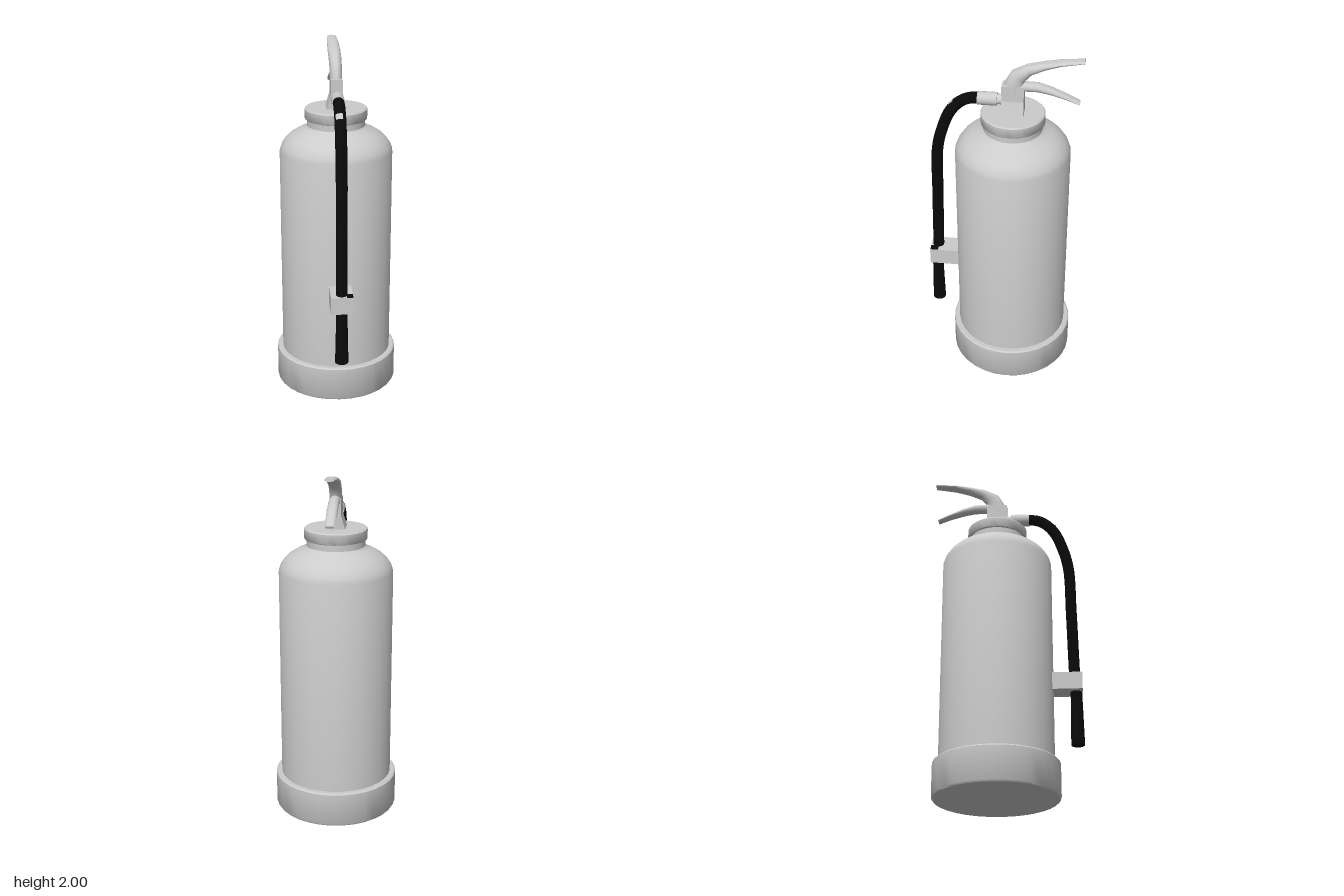
import * as THREE from 'three';
import { toCreasedNormals } from 'three/addons/utils/BufferGeometryUtils.js';

const AXIS_Z = -0.055; // the tank stands a little behind the centre
const grey = new THREE.MeshStandardMaterial({ color: 0xcccccc });
const black = new THREE.MeshStandardMaterial({ color: 0x0a0a0a });

function add(group, name, geometry, material = grey, position = [0, 0, 0]) {
  const mesh = new THREE.Mesh(geometry, material);
  mesh.name = name;
  mesh.position.set(...position);
  group.add(mesh);
  return mesh;
}

// Turned part from [radius, height] pairs, bottom to top
function turned(profile) {
  const points = profile.map(([r, y]) => new THREE.Vector2(r, y));
  return toCreasedNormals(new THREE.LatheGeometry(points, 32), 0.7);
}

// Closed oval loft along stations of [z, y, half width, half height]
function loft(stations, sides = 14) {
  const pos = [], index = [];
  const point = (i) => new THREE.Vector3(0, stations[i][1], stations[i][0]);
  const last = stations.length - 1;
  stations.forEach(([z, y, w, h], i) => {
    const t = point(Math.min(i + 1, last)).sub(point(Math.max(i - 1, 0))).normalize();
    for (let j = 0; j < sides; j++) {
      const a = (j / sides) * Math.PI * 2;
      const s = Math.sin(a) * h;
      pos.push(Math.cos(a) * w, y + s * t.z, z - s * t.y);
    }
  });
  for (let i = 0; i < last; i++) {
    for (let j = 0; j < sides; j++) {
      const k = (j + 1) % sides;
      const a = i * sides + j, b = i * sides + k;
      index.push(a, b, a + sides, b, b + sides, a + sides);
    }
  }
  // end caps
  const c = pos.length / 3;
  for (const i of [0, last]) pos.push(0, stations[i][1], stations[i][0]);
  for (let j = 0; j < sides; j++) {
    const k = (j + 1) % sides;
    index.push(c, k, j, c + 1, last * sides + j, last * sides + k);
  }
  const g = new THREE.BufferGeometry();
  g.setAttribute('position', new THREE.Float32BufferAttribute(pos, 3));
  g.setIndex(index);
  return toCreasedNormals(g, 0.9);
}

export function createModel() {
  const model = new THREE.Group();
  model.name = 'fireExtinguisher';

  // Tank, foot ring and collar share one vertical axis
  const tank = new THREE.Group();
  tank.name = 'tank';
  tank.position.z = AXIS_Z;
  model.add(tank);
  add(tank, 'foot', turned([[0, 0], [0.345, 0], [0.352, 0.01], [0.352, 0.195], [0.345, 0.202], [0.315, 0.202]]));
  add(tank, 'body', turned([
    [0.32, 0.19], [0.32, 1.42], [0.31, 1.45], [0.29, 1.48], [0.262, 1.507],
    [0.225, 1.53], [0.185, 1.548], [0.165, 1.56], [0.158, 1.57],
  ]));
  add(tank, 'neck', turned([[0.163, 1.555], [0.163, 1.605]]));
  add(tank, 'collar', turned([
    [0.15, 1.6], [0.172, 1.6], [0.176, 1.605], [0.176, 1.657], [0.17, 1.664], [0, 1.664],
  ]));

  // Valve block, narrowing towards the top
  const valve = new THREE.BoxGeometry(0.12, 0.18, 0.12, 1, 2, 1);
  const p = valve.attributes.position;
  for (let i = 0; i < p.count; i++) {
    if (p.getY(i) > -0.05) p.setX(i, p.getX(i) * 0.55);
  }
  add(model, 'valveBlock', toCreasedNormals(valve, 0.2), grey, [0, 1.74, AXIS_Z]);

  // Carrying handle and squeeze lever
  add(model, 'upperLever', loft([
    [-0.053, 1.76, 0.034, 0.058], [-0.06, 1.83, 0.035, 0.054], [-0.083, 1.885, 0.035, 0.046],
    [-0.14, 1.925, 0.036, 0.032], [-0.22, 1.953, 0.036, 0.021], [-0.31, 1.976, 0.034, 0.014],
    [-0.43, 1.992, 0.027, 0.008],
  ]));
  add(model, 'lowerLever', loft([
    [-0.06, 1.815, 0.03, 0.035], [-0.12, 1.823, 0.03, 0.028], [-0.19, 1.822, 0.03, 0.026],
    [-0.26, 1.804, 0.03, 0.02], [-0.34, 1.775, 0.028, 0.013], [-0.412, 1.743, 0.025, 0.008],
  ]));

  // Hose fitting
  const fitting = (name, radius, z0, z1) => {
    const g = new THREE.CylinderGeometry(radius, radius, z1 - z0, 20).rotateX(Math.PI / 2);
    add(model, name, g, grey, [0, 1.735, (z0 + z1) / 2]);
  };
  fitting('fittingStem', 0.028, -0.01, 0.035);
  fitting('fittingSleeve', 0.037, 0.03, 0.137);

  // Hose and its flared nozzle
  const path = new THREE.CatmullRomCurve3([
    [0.13, 1.735], [0.18, 1.732], [0.24, 1.7], [0.29, 1.64], [0.332, 1.54], [0.366, 1.4],
    [0.376, 1.1], [0.385, 0.7], [0.39, 0.58],
  ].map(([z, y]) => new THREE.Vector3(0, y, z)));
  add(model, 'hose', new THREE.TubeGeometry(path, 48, 0.032, 14), black);
  add(model, 'nozzle', new THREE.CylinderGeometry(0.031, 0.038, 0.31, 16), black, [0, 0.455, 0.393]);

  // Small pale patch on the bend of the hose
  const patch = add(model, 'hosePatch',
    new THREE.CylinderGeometry(0.034, 0.034, 0.035, 8, 1, true, -0.85, 1.25),
    new THREE.MeshStandardMaterial({ color: 0xcccccc, side: THREE.DoubleSide }), [0, 1.677, 0.263]);
  patch.rotation.x = -0.8;

  // Clip holding the hose to the tank, with a dark pad on one corner
  add(model, 'hoseClip', new THREE.BoxGeometry(0.125, 0.1, 0.185), grey, [0, 0.66, 0.3345]);
  add(model, 'clipPad', new THREE.BoxGeometry(0.035, 0.004, 0.045), black, [0.044, 0.711, 0.403]);

  return model;
}
